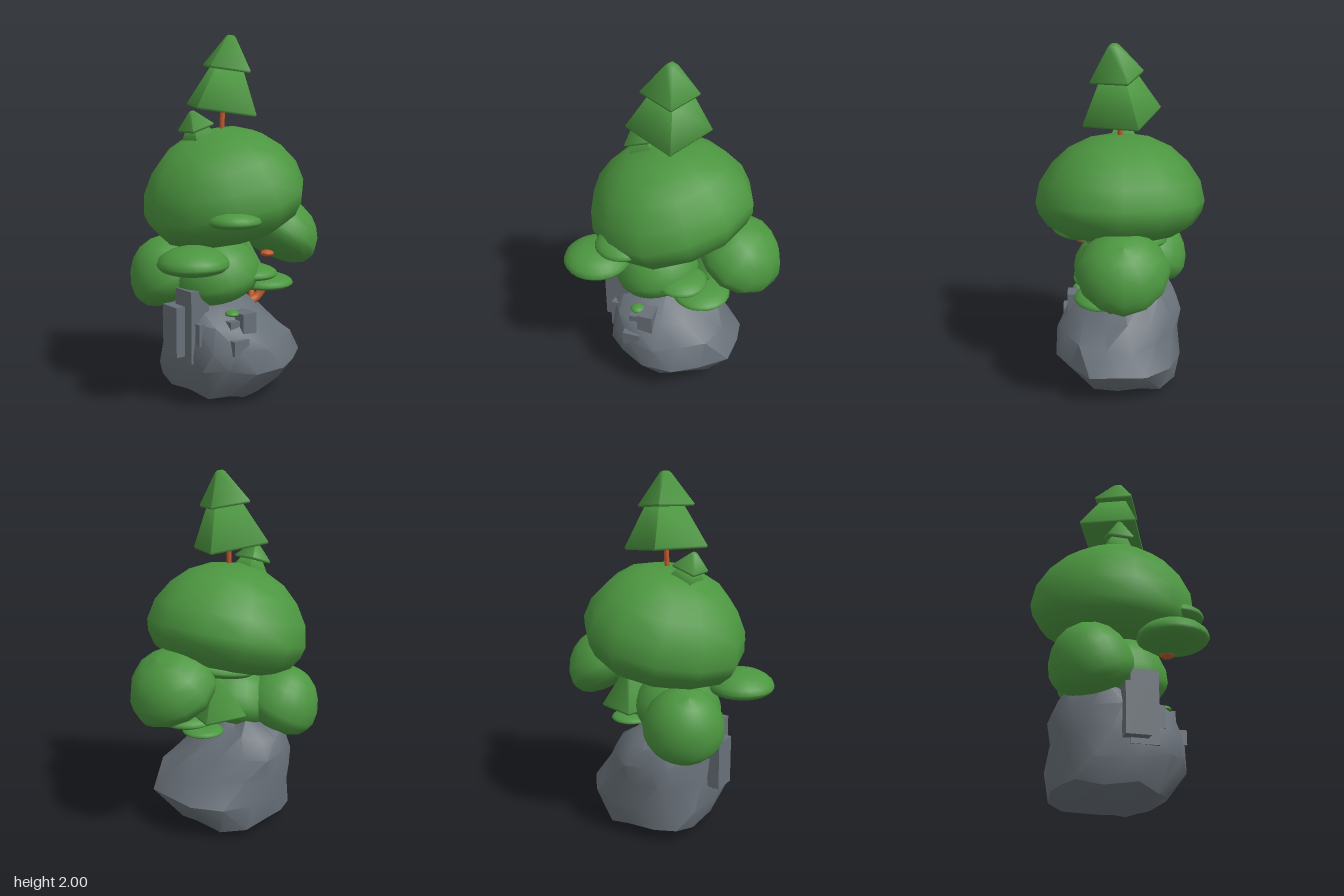
import * as THREE from 'three';
import { toCreasedNormals } from 'three/addons/utils/BufferGeometryUtils.js';

export function createModel() {
  const model = new THREE.Group();
  const leaf = new THREE.MeshStandardMaterial({ color: 0x4c9640 });
  leaf.name = 'leaf green';
  const bark = new THREE.MeshStandardMaterial({ color: 0xbd5a2c });
  bark.name = 'orange bark';
  const stone = new THREE.MeshStandardMaterial({ color: 0x687078 });
  stone.name = 'slate grey';

  const add = (name, geo, mat, pos = [0, 0, 0], rot = [0, 0, 0]) => {
    const m = new THREE.Mesh(geo, mat);
    m.name = name;
    m.position.set(...pos);
    m.rotation.set(...rot);
    model.add(m);
    return m;
  };
  let seed = 11;
  const rand = () => (seed = (seed * 16807) % 2147483647) / 2147483647;

  // Foliage domes: one mushroom-like profile of unit radius, scaled and tilted
  const domeProfile = [[0, -0.5], [0.4, -0.48], [0.68, -0.42], [0.86, -0.32], [0.965, -0.17], [1, -0.04],
    [0.95, 0.2], [0.8, 0.43], [0.6, 0.61], [0.34, 0.73], [0, 0.78]].map((p) => new THREE.Vector2(...p));
  const domeGeo = new THREE.LatheGeometry(domeProfile, 12);
  const roundGeo = new THREE.LatheGeometry(domeProfile, 24);
  // Draw the large domes in a little on their diagonals
  const dp = domeGeo.attributes.position;
  for (let i = 0; i < dp.count; i++) {
    const x = dp.getX(i), z = dp.getZ(i);
    const k = 1 - 0.045 * Math.abs(Math.sin(2 * Math.atan2(z, x)));
    dp.setXYZ(i, x * k, dp.getY(i), z * k);
  }
  const dome = (name, geo, pos, r, h, rot) => add(name, geo, leaf, pos, rot).scale.set(r, h, r);
  dome('mainCanopy', domeGeo, [-0.043, 1.128, 0], 0.475, 0.475, [0, 0, 0.245]);
  dome('sideCanopy', domeGeo, [0.358, 0.868, 0], 0.257, 0.27, [0, 0, -0.57]);
  dome('lowerCanopy', roundGeo, [-0.12, 0.69, 0.02], 0.25, 0.28, [0, 0, 0.24]);
  dome('backCanopy', roundGeo, [-0.29, 0.675, -0.185], 0.224, 0.29, [-0.35, 0, 0.35]);

  // Flat foliage pads: x, y, z, radius, height, tilt
  const pads = [
    [-0.41, 0.82, 0.22, 0.19, 0.115, 0], [-0.215, 1.035, 0.31, 0.15, 0.08, 0],
    [0.17, 0.62, 0.1, 0.165, 0.065, 0], [0.17, 0.58, -0.03, 0.115, 0.04, 0],
    [0.055, 0.69, 0.12, 0.15, 0.065, 0], [0.07, 0.94, -0.03, 0.23, 0.1, 0.15],
    [-0.17, 0.515, 0.24, 0.04, 0.025, 0],
  ];
  for (const [x, y, z, r, h, t] of pads) dome('foliagePad', roundGeo, [x, y, z], r, h, [0, 0, t]);

  // Four-sided conifer tier with a softened tip and hem
  const tier = (name, pos, r, top, h, turn, tilt) => {
    const pts = [[0, 0], [r * 0.97, 0], [r, 0.012], [top, h * 0.95], [top * 0.6, h], [0, h]];
    const g = toCreasedNormals(new THREE.LatheGeometry(pts.map((p) => new THREE.Vector2(...p)), 4), 1.4);
    g.rotateY(turn);
    add(name, g, leaf, pos, tilt);
  };
  tier('pineLowerTier', [-0.055, 1.588, -0.012], 0.23, 0.11, 0.24, 0.34, [0.1, 0, -0.11]);
  tier('pineUpperTier', [-0.038, 1.81, 0.017], 0.155, 0.032, 0.186, 0.34, [0.1, 0, -0.1]);
  tier('smallPineLowerTier', [-0.19, 1.43, -0.02], 0.1, 0.06, 0.08, Math.PI / 4, [0, 0, 0.3]);
  tier('smallPineUpperTier', [-0.215, 1.495, -0.02], 0.1, 0.018, 0.1, Math.PI / 4, [0, 0, 0.3]);
  tier('hiddenPineTier', [0.12, 0.675, -0.09], 0.17, 0.03, 0.24, 0.5, [0, 0, -0.04]);

  // Trunk and branches
  const branch = (name, r, ...pts) => add(name, new THREE.TubeGeometry(
    new THREE.CatmullRomCurve3(pts.map((p) => new THREE.Vector3(...p))), 10, r, 8), bark);
  branch('pineTrunk', 0.014, [-0.055, 1.4, 0], [-0.055, 1.5, 0], [-0.05, 1.62, 0]);
  branch('mainTrunk', 0.035, [-0.03, 0.5, 0], [0.0, 0.7, 0], [-0.03, 1.0, 0]);
  branch('sideBranch', 0.016, [0, 0.82, 0], [0.07, 0.885, 0.02], [0.12, 0.92, 0], [0.28, 0.92, 0]);
  branch('lowBranch', 0.024, [0.08, 0.5, 0.06], [0.14, 0.52, 0.06], [0.18, 0.57, 0.07], [0.19, 0.63, 0.08]);
  branch('lowBackBranch', 0.018, [0.12, 0.51, 0.05], [0.15, 0.54, 0.01], [0.17, 0.59, -0.02]);
  branch('backBranch', 0.024, [-0.17, 0.45, -0.18], [-0.22, 0.53, -0.22], [-0.26, 0.62, -0.22]);
  const knot = new THREE.SphereGeometry(0.04, 12, 8);
  for (const p of [[-0.31, 0.768, 0.22], [0.225, 0.77, 0.06]]) add('branchKnot', knot, bark, p).scale.y = 0.5;

  // Boulder: rings of height, min x, max x, min z, max z, squarer low on the -x side, roughened
  const rings = [
    [0.015, -0.15, 0.12, -0.14, 0.2], [0.06, -0.34, 0.29, -0.345, 0.27], [0.2, -0.375, 0.385, -0.35, 0.395],
    [0.33, -0.375, 0.31, -0.345, 0.375], [0.45, -0.365, 0.215, -0.355, 0.29],
    [0.55, -0.335, 0.1, -0.32, 0.19], [0.605, -0.22, 0.03, -0.21, 0.09],
  ];
  const sides = 14, pos = [], index = [];
  rings.forEach(([y, x0, x1, z0, z1], i) => {
    for (let j = 0; j < sides; j++) {
      const a = ((j + (i % 2) * 0.5) / sides) * Math.PI * 2;
      const c = Math.cos(a), s = Math.sin(a);
      const k = 1.06 - 0.11 * rand();
      const power = c > 0 ? 1.08 : i > 4 ? 1.1 : 0.8;
      const soft = (v) => Math.sign(v) * Math.abs(v) ** power * k;
      const dy = (i === 0 ? 0.03 : 0.05) * (rand() - 0.5);
      pos.push(THREE.MathUtils.clamp((x0 + x1) / 2 + soft(c) * (x1 - x0) / 2, -0.38, 0.38),
        y + dy, THREE.MathUtils.clamp((z0 + z1) / 2 + soft(s) * (z1 - z0) / 2, -0.355, 0.39));
    }
  });
  for (let i = 0; i < rings.length - 1; i++) {
    for (let j = 0; j < sides; j++) {
      const n = (j + 1) % sides;
      const a = i * sides + j, b = i * sides + n, c = a + sides, d = b + sides;
      if (i % 2) index.push(a, c, d, a, d, b);
      else index.push(a, c, b, b, c, d);
    }
  }
  const bottom = pos.length / 3, lastRing = (rings.length - 1) * sides;
  pos.push(0, 0, 0.02, -0.08, 0.61, -0.06);
  for (let j = 0; j < sides; j++) {
    const n = (j + 1) % sides;
    index.push(bottom, j, n, bottom + 1, lastRing + n, lastRing + j);
  }
  const rock = new THREE.BufferGeometry();
  rock.setAttribute('position', new THREE.Float32BufferAttribute(pos, 3));
  rock.setIndex(index);
  add('boulder', toCreasedNormals(rock, 0.6), stone);

  // Square-cut stones: x range, y range, z range
  const blocks = [
    [-0.43, -0.33, 0.28, 0.555, -0.04, 0.09], [-0.375, -0.3, 0.25, 0.645, 0.0, 0.15],
    [-0.31, -0.26, 0.3, 0.6, 0.0, 0.15], [-0.35, -0.22, 0.35, 0.47, 0.08, 0.19],
    [-0.21, -0.14, 0.39, 0.48, 0.15, 0.28], [-0.15, -0.06, 0.39, 0.52, 0.17, 0.31],
    [-0.23, -0.13, 0.31, 0.39, 0.2, 0.34], [-0.13, -0.05, 0.31, 0.36, 0.2, 0.34],
  ];
  for (const [x0, x1, y0, y1, z0, z1] of blocks) {
    add('stoneBlock', new THREE.BoxGeometry(x1 - x0, y1 - y0, z1 - z0), stone,
      [(x0 + x1) / 2, (y0 + y1) / 2, (z0 + z1) / 2]);
  }
  return model;
}
